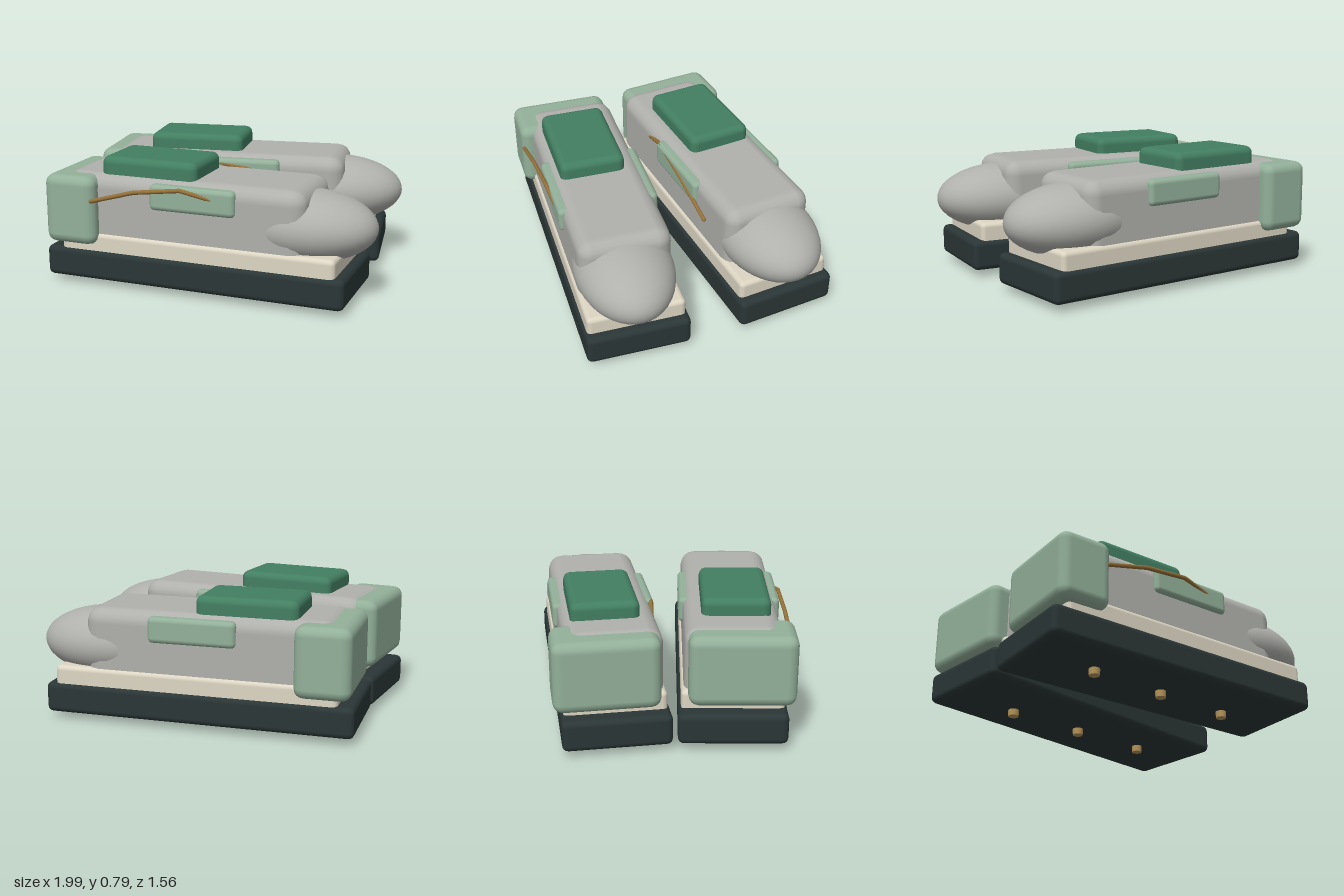
import * as THREE from 'three';
import { RoundedBoxGeometry } from 'three/addons/geometries/RoundedBoxGeometry.js';

const mat = (name, color) => {
  const m = new THREE.MeshStandardMaterial({ color });
  m.name = name;
  return m;
};

export function createModel() {
  const rubber = mat('dark rubber', 0x2b3636);
  const cream = mat('cream', 0xddd6c4);
  const grey = mat('grey fabric', 0xb0b0ac);
  const mint = mat('pale green', 0x93b09a);
  const green = mat('green', 0x437f62);
  const cord = mat('brown cord', 0x95723a);
  const brass = mat('brass', 0xb8965a);

  const model = new THREE.Group();
  model.name = 'pairOfShoes';

  const add = (parent, name, geometry, material, x = 0, y = 0, z = 0) => {
    const mesh = new THREE.Mesh(geometry, material);
    mesh.name = name;
    mesh.position.set(x, y, z);
    parent.add(mesh);
    return mesh;
  };
  // bevelled block given by its size, centre and bevel radius
  const block = (parent, name, material, [w, h, d], [x, y, z], r) =>
    add(parent, name, new RoundedBoxGeometry(w, h, d, 2, r), material, x, y, z);

  // laces, one hanging along the front-facing side of each shoe
  const laces = {
    1: [[-0.67, 0.54, 0.69], [-0.4, 0.615, 0.7], [-0.11, 0.65, 0.708], [0.1, 0.6, 0.7]],
    '-1': [[-0.51, 0.57, -0.1], [-0.25, 0.65, -0.093], [0.05, 0.61, -0.1], [0.4, 0.5, -0.125]],
  };

  for (const side of [1, -1]) {
    const shoe = new THREE.Group();
    shoe.name = side > 0 ? 'frontShoe' : 'backShoe';
    shoe.position.set(-0.045, 0, 0.397 * side);
    shoe.rotation.y = -0.08 * side;
    model.add(shoe);

    // sole layers
    block(shoe, 'outsole', rubber, [1.865, 0.185, 0.625], [0, 0.1325, 0], 0.035);
    block(shoe, 'midsole', cream, [1.71, 0.14, 0.59], [0.02, 0.26, 0], 0.03);

    // upper with rounded toe
    block(shoe, 'upper', grey, [1.52, 0.47, 0.56], [-0.07, 0.455, 0], 0.09);
    add(shoe, 'toeCap', new THREE.SphereGeometry(1, 40, 24), grey, 0.615, 0.442, 0.008 * side)
      .scale.set(0.43, 0.21, 0.29);

    // heel counter, tongue and side panels
    block(shoe, 'heelCounter', mint, [0.33, 0.42, 0.61], [-0.75, 0.47, 0.05 * side], 0.06);
    block(shoe, 'tongue', green, [0.61, 0.19, 0.4], [-0.285, 0.693, 0.023 * side], 0.045);
    for (const s of [1, -1]) {
      block(shoe, 'sidePanel', mint, [0.53, 0.155, 0.095], [0.02, 0.587, 0.258 * s], 0.03);
    }

    // lace with closed ends
    const pts = laces[side].map((p) => new THREE.Vector3(...p));
    const path = new THREE.CurvePath();
    for (let i = 1; i < pts.length; i++) path.add(new THREE.LineCurve3(pts[i - 1], pts[i]));
    add(model, 'lace', new THREE.TubeGeometry(path, 36, 0.013, 8), cord);
    for (const p of [pts[0], pts[pts.length - 1]]) {
      add(model, 'laceEnd', new THREE.SphereGeometry(0.013, 8, 6), cord, p.x, p.y, p.z);
    }

    // studs under the sole
    for (const x of [-0.54, -0.04, 0.46]) {
      add(model, 'stud', new THREE.CylinderGeometry(0.035, 0.032, 0.06, 12), brass, x, 0.03, 0.4 * side);
    }
  }
  return model;
}
